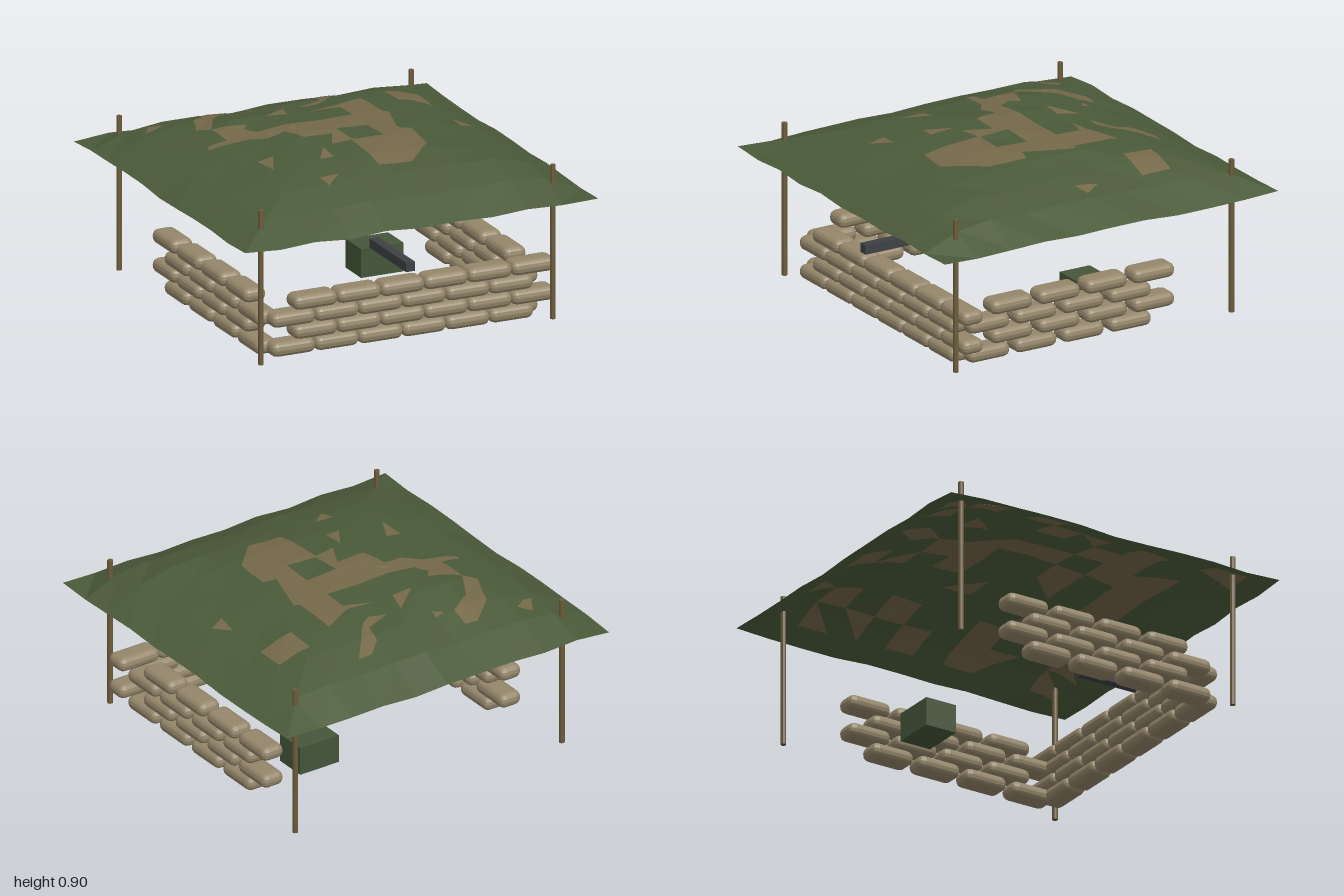
import * as THREE from 'three';
import { RoundedBoxGeometry } from 'three/addons/geometries/RoundedBoxGeometry.js';

const material = (name, color, extra = {}) => {
  const m = new THREE.MeshStandardMaterial({ color, flatShading: true, ...extra });
  m.name = name;
  return m;
};

function seeded(seed) {
  return () => {
    seed = (seed * 16807) % 2147483647;
    return seed / 2147483647;
  };
}

// Canopy heights on a 10 x 10 grid: a shallow dome that drops at the rim
const N = 10;
const random = seeded(4127);
const heights = [];
for (let j = 0; j <= N; j++) {
  for (let i = 0; i <= N; i++) {
    const x = Math.abs(i / 5 - 1), z = Math.abs(j / 5 - 1);
    const m = Math.min(1, Math.pow(x ** 12 + z ** 12, 1 / 12));
    heights.push(0.673 + 0.215 * (1 - m ** 2.6) + (random() - 0.5) * 0.022);
  }
}

// Height of the faceted canopy at any point
function canopyHeight(x, z) {
  const gx = THREE.MathUtils.clamp((x + 1) * 5, 0, N), gz = THREE.MathUtils.clamp((z + 1) * 5, 0, N);
  const i = Math.min(N - 1, Math.floor(gx)), j = Math.min(N - 1, Math.floor(gz));
  const u = gx - i, v = gz - j, k = j * (N + 1) + i;
  const a = heights[k], d = heights[k + 1], b = heights[k + N + 1], c = heights[k + N + 2];
  return u + v <= 1 ? a + u * (d - a) + v * (b - a) : c + (1 - u) * (b - c) + (1 - v) * (d - c);
}

// Flat patch outline in x, z, subdivided and draped at an offset from the canopy
function drapedPatch(outline, offset, levels, hole) {
  const toPoints = (list) => list.map(([x, z]) => new THREE.Vector2(x, -z));
  const shape = new THREE.Shape(toPoints(outline));
  if (hole) shape.holes.push(new THREE.Path(toPoints(hole)));
  const flat = new THREE.ShapeGeometry(shape).toNonIndexed().attributes.position;
  const positions = [];
  const split = (a, b, c, level) => {
    if (level === 0) {
      for (const p of [a, b, c]) positions.push(p.x, canopyHeight(p.x, -p.y) + offset, -p.y);
      return;
    }
    const ab = a.clone().lerp(b, 0.5), bc = b.clone().lerp(c, 0.5), ca = c.clone().lerp(a, 0.5);
    split(a, ab, ca, level - 1);
    split(ab, b, bc, level - 1);
    split(ca, bc, c, level - 1);
    split(ab, bc, ca, level - 1);
  };
  const corner = (i) => new THREE.Vector3().fromBufferAttribute(flat, i);
  for (let i = 0; i < flat.count; i += 3) split(corner(i), corner(i + 1), corner(i + 2), levels);
  const geometry = new THREE.BufferGeometry();
  geometry.setAttribute('position', new THREE.Float32BufferAttribute(positions, 3));
  geometry.computeVertexNormals();
  return geometry;
}

export function createModel() {
  const model = new THREE.Group();
  model.name = 'sandbagShelter';
  const netGreen = material('net green', 0x4b5a3a, { side: THREE.DoubleSide });
  const netBrown = material('net brown', 0x75684a, { side: THREE.DoubleSide });
  const sand = material('sandbag tan', 0x94866a);
  const wood = material('pole brown', 0x6b5c3c);
  const metal = material('dark metal', 0x3e4044);
  const crateGreen = material('crate green', 0x45553a);

  const add = (parent, name, geometry, mat, x = 0, y = 0, z = 0) => {
    const mesh = new THREE.Mesh(geometry, mat);
    mesh.name = name;
    mesh.position.set(x, y, z);
    parent.add(mesh);
    return mesh;
  };

  // Canopy sheet
  const sheet = new THREE.PlaneGeometry(2, 2, N, N).rotateX(-Math.PI / 2);
  heights.forEach((h, i) => sheet.attributes.position.setY(i, h));
  sheet.computeVertexNormals();
  add(model, 'canopy', sheet, netGreen);

  // Brown camouflage on the upper face
  const patches = new THREE.Group();
  patches.name = 'camouflagePatches';
  model.add(patches);
  const mainPatch = [
    [-0.53, -0.36], [-0.36, -0.3], [-0.4, -0.25], [-0.36, -0.18], [0.18, -0.18], [0.18, -0.32],
    [0.02, -0.36], [0.18, -0.36], [0.35, -0.44], [0.35, -0.18], [0.38, -0.17], [0.3, 0.1],
    [0.37, 0.12], [0.35, 0.34], [0.18, 0.52], [0, 0.5], [0, 0.18], [-0.12, 0.2],
    [-0.05, 0.06], [-0.21, 0.06], [-0.25, -0.08], [-0.36, -0.06], [-0.45, -0.12], [-0.65, -0.14],
    [-0.64, -0.18], [-0.53, -0.18],
  ];
  const gap = [[0, 0], [0.18, 0], [0.18, 0.18], [0.01, 0.17]];
  add(patches, 'mainPatch', drapedPatch(mainPatch, 0.006, 4, gap), netBrown);
  const smallPatches = [
    [[-0.54, -0.53], [-0.52, -0.6], [-0.38, -0.72], [-0.31, -0.71], [-0.31, -0.61], [-0.44, -0.53], [-0.53, -0.36], [-0.59, -0.42]],
    [[0.53, -0.53], [0.72, -0.53], [0.72, -0.36], [0.53, -0.36]],
    [[0.02, -0.48], [0.17, -0.54], [0.19, -0.64], [0.27, -0.71], [0.35, -0.71], [0.18, -0.5], [0.12, -0.46]],
    [[-0.53, 0.18], [-0.44, 0.18], [-0.52, 0.34]],
    [[-0.26, 0.35], [-0.18, 0.22], [-0.18, 0.35]],
    [[-0.35, 0.53], [-0.24, 0.53], [-0.34, 0.62]],
    [[-0.22, -0.36], [-0.07, -0.48], [-0.1, -0.36]],
    [[0.69, 0.03], [0.71, -0.1], [0.77, 0]],
    [[-0.76, -0.65], [-0.7, -0.75], [-0.64, -0.7], [-0.71, -0.65]],
    [[-0.25, -0.6], [-0.19, -0.62], [-0.2, -0.57]],
  ];
  for (const outline of smallPatches) add(patches, 'smallPatch', drapedPatch(outline, 0.006, 3), netBrown);

  // Scattered square and triangular scraps on the underside
  const scatter = seeded(911);
  const cell = 0.176;
  for (let i = 0; i < 10; i++) {
    for (let j = 0; j < 10; j++) {
      const pick = scatter();
      if (pick > 0.42) continue;
      const x = -0.88 + i * cell, z = -0.88 + j * cell;
      const outline = [[x, z], [x + cell, z], [x + cell, z + cell], [x, z + cell]];
      if (pick < 0.2) outline.splice(Math.floor(scatter() * 4), 1);
      add(patches, 'undersidePatch', drapedPatch(outline, -0.006, 2), netBrown);
    }
  }

  // Four corner poles
  const poleGeometry = new THREE.CylinderGeometry(0.015, 0.015, 0.83, 8);
  for (const x of [-0.827, 0.827]) {
    for (const z of [-0.827, 0.827]) add(model, 'pole', poleGeometry, wood, x, 0.415, z);
  }

  // Sandbag walls: alternating courses, closed at the front and open at the back
  const walls = new THREE.Group();
  walls.name = 'sandbagWalls';
  model.add(walls);
  const bag = new RoundedBoxGeometry(0.25, 0.078, 0.13, 2, 0.036);
  for (let row = 0; row < 4; row++) {
    const y = 0.045 + row * 0.0783;
    const odd = row % 2;
    for (let i = 0; i < 6; i++) {
      add(walls, 'frontSandbag', bag, sand, (odd ? -0.495 : -0.62) + i * 0.247, y, 0.737);
    }
    for (const x of [-0.737, 0.737]) {
      for (let i = 0; i < 4; i++) {
        add(walls, 'sideSandbag', bag, sand, x, y, (odd ? 0.46 : 0.6) - i * 0.283).rotation.y = Math.PI / 2;
      }
    }
  }

  // Barrel and supply crate
  add(model, 'barrel', new THREE.BoxGeometry(0.05, 0.05, 0.43), metal, 0, 0.415, 0.655);
  add(model, 'crate', new THREE.BoxGeometry(0.24, 0.155, 0.18), crateGreen, 0.345, 0.0775, -0.26);

  return model;
}
